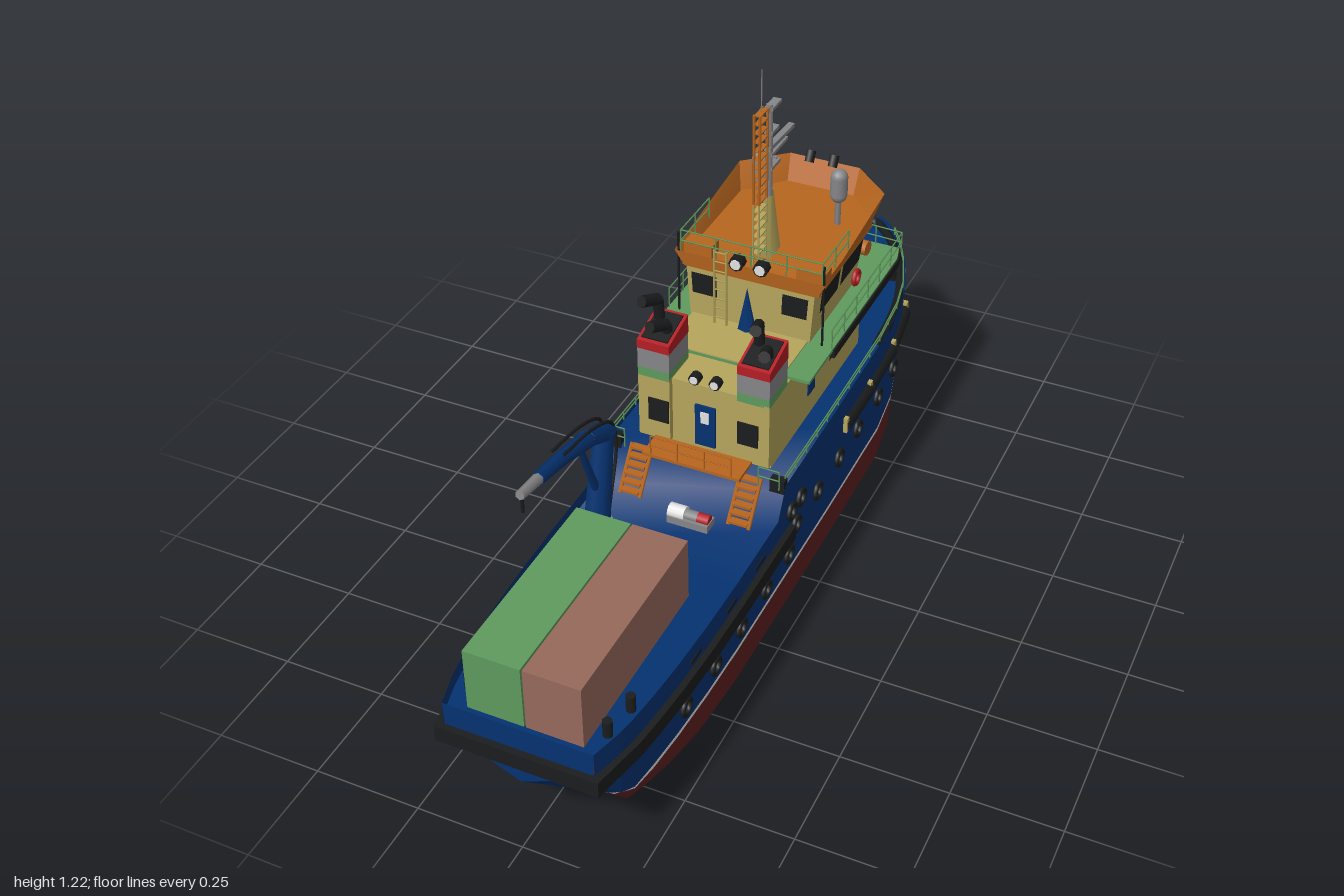
import * as THREE from 'three';

const mat = (name, color, side = THREE.FrontSide) => {
  const m = new THREE.MeshStandardMaterial({ color, side });
  m.name = name;
  return m;
};
const V = (x, y, z) => new THREE.Vector3(x, y, z);

export function createModel() {
  const D = THREE.DoubleSide;
  const blue = mat('hull blue', 0x043270, D), red = mat('bottom red', 0x602021, D), black = mat('rubber black', 0x1b1c1d);
  const orange = mat('orange', 0xb8661f, D), tan = mat('tan', 0xb5a55c), green = mat('green', 0x5f9a5e);
  const brown = mat('brown', 0x96695b), grey = mat('grey', 0x868688), white = mat('white', 0xe2e2e2, D), bright = mat('bright red', 0xb41e24);
  const ship = new THREE.Group();
  ship.name = 'workShip';

  const add = (name, geo, m, p = [0, 0, 0]) => {
    const o = new THREE.Mesh(geo, m);
    o.name = name;
    o.position.set(...p);
    ship.add(o);
    return o;
  };
  const box = (name, m, w, h, d, x, y, z) => add(name, new THREE.BoxGeometry(w, h, d), m, [x, y, z]);
  const rod = (name, m, a, b, r = 0.0025, r2 = r, seg = 5) => {
    const d = b.clone().sub(a);
    const o = add(name, new THREE.CylinderGeometry(r2, r, d.length(), seg), m, a.clone().add(b).multiplyScalar(0.5).toArray());
    o.quaternion.setFromUnitVectors(V(0, 1, 0), d.normalize());
    return o;
  };
  // Surface through rows of points, one row per cross-section
  const grid = (name, rows, m, flip) => {
    const n = rows[0].length, pos = rows.flat().flatMap(p => p.toArray()), idx = [];
    for (let i = 0; i < rows.length - 1; i++) for (let j = 0; j < n - 1; j++) {
      const a = i * n + j, b = a + 1, c = a + n, d = c + 1;
      idx.push(...(flip ? [a, c, b, b, c, d] : [a, b, c, b, d, c]));
    }
    const g = new THREE.BufferGeometry();
    g.setAttribute('position', new THREE.Float32BufferAttribute(pos, 3));
    g.setIndex(idx);
    g.computeVertexNormals();
    return add(name, g, m);
  };
  // Flat plate drawn in plan (x, z) with its top at y
  const plate = (name, pts, y, h, m) => {
    const g = new THREE.ExtrudeGeometry(new THREE.Shape(pts.map(p => new THREE.Vector2(p[0], p[1]))), { depth: h, bevelEnabled: false });
    g.rotateX(Math.PI / 2);
    return add(name, g, m, [0, y, 0]);
  };
  // Six-sided room outline, anticlockwise from above
  const ring = (w, aft, side, fw, front, yAft, yFront = yAft) => [V(-w, yAft, aft), V(w, yAft, aft),
    V(w, yFront, side), V(fw, yFront, front), V(-fw, yFront, front), V(-w, yFront, side)];
  const walls = (name, A, B, m) => A.forEach((a, i) => {
    const j = (i + 1) % A.length;
    grid(name, [[a, B[i]], [A[j], B[j]]], m, true);
  });
  // Thin pane on wall i, in fractions of that wall
  const pane = (name, A, B, i, u0, u1, v0, v1) => {
    const j = (i + 1) % 6;
    const n = A[j].clone().sub(A[i]).cross(B[i].clone().sub(A[i])).normalize().multiplyScalar(0.004);
    const at = (u, v) => A[i].clone().lerp(A[j], u).lerp(B[i].clone().lerp(B[j], u), v).add(n);
    grid(name, [[at(u0, v0), at(u0, v1)], [at(u1, v0), at(u1, v1)]], black, true);
  };
  const rail = (name, pts, h = 0.055, m = green) => {
    for (let i = 0; i < pts.length - 1; i++) {
      const a = pts[i], b = pts[i + 1], n = Math.max(1, Math.round(a.distanceTo(b) / 0.07));
      for (const k of [0.5, 1]) rod(name, m, a.clone().add(V(0, h * k, 0)), b.clone().add(V(0, h * k, 0)), 0.0018);
      for (let k = 0; k <= n; k++) {
        const p = a.clone().lerp(b, k / n);
        rod(name, m, p, p.clone().add(V(0, h, 0)), 0.0018);
      }
    }
  };

  // Hull stations: z, half beam, keel height
  const st = [[-0.997, 0.004, 0], [-0.97, 0.042, 0], [-0.93, 0.078, 0], [-0.87, 0.116, 0], [-0.8, 0.15, 0], [-0.7, 0.187, 0],
    [-0.6, 0.207, 0], [-0.45, 0.219, 0], [-0.1, 0.222, 0], [0.16, 0.222, 0], [0.2, 0.222, 0], [0.42, 0.222, 0.002], [0.57, 0.219, 0.012],
    [0.7, 0.213, 0.04], [0.8, 0.205, 0.07], [0.87, 0.197, 0.095], [0.91, 0.19, 0.121], [0.918, 0.188, 0.127], [0.985, 0.17, 0.18]];
  const top = z => (z < 0.18 ? 0.405 : 0.33);
  const deckY = z => (z < 0.18 ? 0.39 : 0.3);
  const beam = z => {
    const i = Math.max(1, st.findIndex(s => s[0] >= z));
    const [a, b] = [st[i - 1], st[i]];
    return a[1] + (b[1] - a[1]) * (z - a[0]) / (b[0] - a[0]);
  };
  const section = ([z, w, k], s) => {
    const bow = THREE.MathUtils.clamp((-z - 0.5) / 0.5, 0, 1);
    const rise = THREE.MathUtils.clamp((z - 0.87) / 0.115, 0, 1) * 0.072, bilge = k + Math.max(0.04, rise + 0.01);
    const pt = (f, y) => V(s * w * f * (1 - bow * 0.45 * (0.405 - y)), y, z + bow * 0.18 * (0.405 - y));
    return [pt(0, k), pt(0.9, k + rise), pt(0.985, bilge), pt(1, Math.max(0.13, bilge)), pt(1, Math.max(0.14, bilge)), pt(1, top(z))];
  };
  for (const s of [1, -1]) {
    const S = st.map(q => section(q, s)), f = s < 0;
    const part = (name, a, b, i, j, m) => grid(name, S.slice(i, j).map(r => r.slice(a, b + 1)), m, f);
    part('hullBottom', 0, 1, 0, 17, red);
    part('hullBilge', 1, 2, 0, 17, red);
    part('hullLowerSide', 2, 3, 0, 17, red);
    part('sternWaterline', 0, 1, 16, 18, white);
    part('sternBilgeWaterline', 1, 2, 16, 18, white);
    part('sternUnderside', 0, 1, 17, 19, blue);
    part('sternBilge', 1, 2, 17, 19, blue);
    part('sternSide', 2, 3, 16, 19, blue);
    part('waterline', 3, 4, 0, 18, white);
    part('hullSide', 4, 5, 0, 19, blue);
  }
  const half = section(st[18], 1).filter((p, i) => i !== 3 && i !== 4);
  const transom = new THREE.Shape([...half.map(p => new THREE.Vector2(p.x, p.y)), ...half.slice(1).reverse().map(p => new THREE.Vector2(-p.x, p.y))]);
  add('transom', new THREE.ShapeGeometry(transom), blue, [0, 0, 0.985]);
  grid('deck', st.map(([z, w]) => [V(-w * 0.99, deckY(z), z), V(w * 0.99, deckY(z), z)]), blue, true);

  // Stern fender belt and bow rim
  const aft = [0.13, 0.42, 0.57, 0.7, 0.8, 0.87, 0.94, 0.985];
  const belt = o => [...aft.map(z => [beam(z) + o, z === 0.985 ? z + o : z]), ...[...aft].reverse().map(z => [-beam(z) - o, z === 0.985 ? z + o : z])];
  plate('sternFender', [...belt(0.015), ...belt(-0.004).reverse()], 0.272, 0.04, black);
  const bowPts = st.slice(0, 8).map(([z, w]) => V(Math.max(0, w - 0.01), 0.394, z + 0.018));
  add('bowRim', new THREE.TubeGeometry(new THREE.CatmullRomCurve3([...[...bowPts].reverse(), ...bowPts.slice(1).map(p => V(-p.x, p.y, p.z))]), 60, 0.012, 6), black);

  const tyre = new THREE.TorusGeometry(0.019, 0.006, 6, 14).rotateY(Math.PI / 2);
  for (const s of [1, -1]) {
    // Side tyres, long fenders, anchors and fairleads
    for (const z of [0.1, -0.03, -0.165, -0.29, -0.43, -0.56]) add('tyre', tyre, black, [s * (beam(z) + 0.004), 0.25, z]);
    for (const z of [0.67, 0.535, 0.405, 0.27, 0.14]) add('tyre', tyre, black, [s * (beam(z) + 0.004), 0.19, z]);
    for (const z of [0.13, 0.075]) add('tyre', tyre, black, [s * 0.226, 0.31, z]);
    for (const [a, b] of [[-0.2, -0.36], [-0.37, -0.54], [-0.55, -0.71]])
      rod('longFender', black, V(s * (beam(a) - 0.004), 0.32, a), V(s * (beam(b) - 0.002), 0.32, b), 0.02, 0.02, 10);
    const anchor = box('anchor', black, 0.025, 0.06, 0.07, s * 0.165, 0.25, -0.765);
    anchor.rotation.y = s * 0.4;
    box('bulwarkRoller', black, 0.035, 0.035, 0.02, s * 0.202, 0.398, 0.155);
    for (const z of [-0.2, -0.36, -0.545, -0.72, -0.86, -0.93]) box('fairlead', tan, 0.016, 0.04, 0.014, s * (beam(z) + 0.002), 0.325, z);
    for (const z of [0.3, 0.45, 0.62]) box('freeingPort', black, 0.006, 0.01, 0.05, s * (beam(z) - 0.001), 0.29, z);
    for (const z of [0.82, 0.9, -0.74, -0.8]) rod('bollard', black, V(s * (beam(z) - 0.035), deckY(z), z), V(s * (beam(z) - 0.035), top(z) + 0.01, z), 0.011, 0.011, 8);
    rail('bulwarkRail', [0.15, -0.1, -0.45, -0.6, -0.7, -0.8, -0.87, -0.93].map(z => V(s * (beam(z) - 0.006), 0.4, z)), 0.022);
    rod('rudderFin', red, V(s * 0.125, 0.125, 0.83), V(s * 0.125, 0.06, 0.8), 0.017, 0.013, 8);

    // Stairs from raised deck to working deck
    for (let i = 0; i < 6; i++) box('stairStep', orange, 0.045, 0.006, 0.018, s * 0.135, 0.395 - i * 0.016, 0.16 + i * 0.012);
    for (const x of [0.11, 0.16]) rod('stairStringer', orange, V(s * x, 0.4, 0.155), V(s * x, 0.305, 0.225), 0.005);
    rail('stairHeadRail', [V(s * 0.165, 0.405, 0.182), V(s * 0.215, 0.405, 0.182)], 0.05);

    // Funnels in stacked colour bands with bent exhausts
    const fx = s * 0.122;
    box('funnelBase', tan, 0.078, 0.17, 0.1, fx, 0.485, 0.065);
    box('funnelGreenBand', green, 0.078, 0.024, 0.1, fx, 0.577, 0.065);
    box('funnelGreyBand', grey, 0.078, 0.05, 0.1, fx, 0.614, 0.065);
    const cap = new THREE.BoxGeometry(0.079, 0.035, 0.101), cp = cap.attributes.position;
    for (let i = 0; i < cp.count; i++) if (cp.getY(i) > 0) cp.setY(i, cp.getY(i) - cp.getZ(i) * 0.25);
    cap.computeVertexNormals();
    add('funnelRedCap', cap, bright, [fx, 0.656, 0.065]);
    box('funnelTop', black, 0.064, 0.006, 0.086, fx, 0.674, 0.065).rotation.x = 0.245;
    for (const [x, z, h] of [[-0.018, 0.04, 0.755], [0.016, 0.07, 0.715]]) {
      const p = V(fx + x, h - 0.022, z + 0.008);
      rod('exhaust', black, V(fx + x, 0.66, z), p, 0.013, 0.013, 8);
      rod('exhaustTip', black, p, V(fx + x + s * 0.015, h - 0.002, z + 0.06), 0.014, 0.014, 8);
    }

    // Radomes, roof lights, life rafts and wing brackets
    rod('radomeStand', grey, V(s * 0.1, 0.72, -0.425), V(s * 0.1, 0.8, -0.425), 0.008);
    add('radome', new THREE.CapsuleGeometry(0.021, 0.045, 5, 12), grey, [s * 0.1, 0.828, -0.425]);
    box('roofLocker', orange, 0.07, 0.03, 0.04, s * 0.14, 0.74, -0.18);
    rod('searchlight', black, V(s * 0.03, 0.79, -0.56), V(s * 0.03, 0.815, -0.575), 0.012, 0.012, 8);
    rod('floodlightHousing', black, V(s * 0.03, 0.75, -0.15), V(s * 0.03, 0.75, -0.126), 0.018, 0.018, 8);
    rod('floodlight', white, V(s * 0.03, 0.75, -0.13), V(s * 0.03, 0.75, -0.123), 0.013, 0.013, 8);
    rod('deckLightHousing', black, V(s * 0.025, 0.585, 0.09), V(s * 0.025, 0.585, 0.11), 0.014, 0.014, 8);
    rod('deckLight', white, V(s * 0.025, 0.585, 0.105), V(s * 0.025, 0.585, 0.113), 0.01, 0.01, 8);
    rod('lifeRaft', orange, V(s * 0.09, 0.602, -0.54), V(s * 0.14, 0.602, -0.535), 0.019, 0.019, 10);
    add('lifebuoy', new THREE.TorusGeometry(0.017, 0.006, 6, 14).rotateY(Math.PI / 2), bright, [s * 0.162, 0.605, -0.4]);
    for (const z of [-0.18, -0.32, -0.44]) {
      const g = new THREE.ExtrudeGeometry(new THREE.Shape([[0.158, 0.52], [0.205, 0.548], [0.205, 0.556], [0.158, 0.556]].map(p => new THREE.Vector2(...p))), { depth: 0.03, bevelEnabled: false });
      const o = add('wingBracket', g, tan, [0, 0, z]);
      if (s < 0) { o.rotation.y = Math.PI; o.position.z = z + 0.03; }
    }
    rail('bridgeDeckRail', [V(s * 0.205, 0.575, -0.14), V(s * 0.205, 0.575, -0.595), V(0, 0.575, -0.605)]);
    rail('roofRail', [V(s * 0.175, 0.74, -0.3), V(s * 0.175, 0.74, -0.145), V(0, 0.74, -0.145)]);
    rod('roofPost', black, V(s * 0.18, 0.57, -0.142), V(s * 0.18, 0.79, -0.142), 0.003);
    box('sideDoor', blue, 0.006, 0.06, 0.04, s * 0.16, 0.48, -0.13);
  }
  box('stairPlatform', orange, 0.24, 0.008, 0.07, 0, 0.402, 0.15);
  rail('platformRail', [V(-0.1, 0.405, 0.182), V(0.1, 0.405, 0.182)], 0.05, orange);

  // Lower house and bridge deck
  const hA = ring(0.16, 0.1, -0.44, 0.085, -0.55, 0.38), hB = ring(0.16, 0.1, -0.44, 0.085, -0.55, 0.565);
  walls('lowerHouse', hA, hB, tan);
  plate('lowerHouseRoof', hB.map(p => [p.x, p.z]), 0.567, 0.006, tan);
  plate('bridgeDeckEdge', [[-0.212, -0.14], [0.212, -0.14], [0.212, -0.56], [0.2, -0.61], [-0.2, -0.61], [-0.212, -0.56]], 0.574, 0.022, black);
  plate('bridgeDeck', [[-0.208, 0], [0.208, 0], [0.208, -0.56], [0.196, -0.605], [-0.196, -0.605], [-0.208, -0.56]], 0.578, 0.008, green);
  box('houseTop', tan, 0.29, 0.01, 0.14, 0, 0.576, -0.07);
  for (const u of [0.62, 0.74, 0.86]) {
    pane('houseWindow', hA, hB, 1, u, u + 0.07, 0.48, 0.7);
    pane('houseWindow', hA, hB, 5, 0.93 - u, 1 - u, 0.48, 0.7);
  }
  for (const i of [2, 4]) pane('houseCornerWindow', hA, hB, i, 0.35, 0.65, 0.48, 0.7);
  for (const x of [-1, 1]) box('aftFunnelWindow', black, 0.05, 0.06, 0.004, x * 0.11, 0.48, 0.117);
  box('aftDoor', blue, 0.05, 0.11, 0.006, 0, 0.46, 0.103);
  box('aftDoorPane', white, 0.02, 0.03, 0.004, 0, 0.485, 0.107);

  // Wheelhouse with raked front windows
  const wA = ring(0.15, -0.14, -0.42, 0.075, -0.5, 0.575), wB = ring(0.16, -0.14, -0.46, 0.085, -0.55, 0.72);
  walls('wheelhouse', wA, wB, tan);
  for (const [u, v] of [[0.12, 0.49], [0.54, 0.95]]) {
    pane('sideWindow', wA, wB, 1, u, v, 0.45, 0.83);
    pane('sideWindow', wA, wB, 5, 1 - v, 1 - u, 0.45, 0.83);
  }
  for (const i of [2, 4]) pane('cornerWindow', wA, wB, i, 0.08, 0.92, 0.45, 0.83);
  for (const u of [0.04, 0.36, 0.68]) pane('frontWindow', wA, wB, 3, u, u + 0.28, 0.45, 0.83);
  for (const u of [0.04, 0.76]) pane('rearWindow', wA, wB, 0, u, u + 0.2, 0.45, 0.83);
  const flag = add('furledFlag', new THREE.ConeGeometry(0.024, 0.115, 6), blue, [0, 0.638, -0.125]);
  flag.scale.z = 0.5;

  // Orange roof basin
  const rA = ring(0.165, -0.14, -0.46, 0.085, -0.555, 0.705), rB = ring(0.187, -0.135, -0.5, 0.09, -0.588, 0.745, 0.787);
  walls('roofBulwark', rA, rB, orange);
  plate('roofDeck', ring(0.17, -0.14, -0.47, 0.086, -0.56, 0).map(p => [p.x, p.z]), 0.725, 0.018, orange);

  // Ladder up the back of the wheelhouse
  for (const x of [-0.08, -0.05]) rod('rearLadder', tan, V(x, 0.58, -0.12), V(x, 0.78, -0.12), 0.003);
  for (let y = 0.6; y < 0.78; y += 0.025) rod('rearLadderRung', tan, V(-0.08, y, -0.12), V(-0.05, y, -0.12), 0.002);

  // Mast, caged ladder and radar bars
  const foot = add('mastFoot', new THREE.CylinderGeometry(0.014, 0.042, 0.17, 4, 1).rotateY(Math.PI / 4), tan, [0, 0.805, -0.245]);
  foot.scale.x = 0.6;
  rod('mastPole', grey, V(0, 0.88, -0.24), V(0, 1.11, -0.24), 0.01, 0.008, 8);
  rod('whipAntenna', grey, V(0, 1.1, -0.195), V(0, 1.215, -0.195), 0.0015);
  for (const z of [-0.172, -0.214]) for (const x of [-0.007, 0.007]) {
    rod('mastLadderFoot', tan, V(x, 0.73, z), V(x, 0.89, z), 0.0025);
    rod('mastLadder', orange, V(x, 0.89, z), V(x, 1.115, z), 0.0035);
  }
  for (let y = 0.76; y < 1.12; y += 0.022) box('mastLadderHoop', y < 0.89 ? tan : orange, 0.016, 0.003, 0.042, 0, y, -0.193);
  for (const [y, l] of [[0.95, 0.05], [0.985, 0.09], [1.04, 0.04], [1.1, 0.05]]) box('mastArm', grey, 0.02, 0.008, l, 0, y, -0.235 - l / 2);
  const scanner = box('radarScanner', grey, 0.015, 0.01, 0.14, 0, 0.998, -0.3);
  scanner.rotation.x = -0.05;
  box('mastCrossbar', grey, 0.04, 0.005, 0.005, 0, 0.98, -0.24);

  // Cargo containers
  box('greenContainer', green, 0.13, 0.155, 0.48, -0.069, 0.378, 0.71);
  box('brownContainer', brown, 0.13, 0.155, 0.48, 0.065, 0.378, 0.71);

  // Deck crane with folding boom
  const cx = -0.145;
  rod('craneBase', grey, V(cx, 0.3, 0.37), V(cx, 0.335, 0.37), 0.045, 0.04, 14);
  rod('craneColumn', blue, V(cx, 0.32, 0.365), V(cx, 0.55, 0.315), 0.032, 0.024, 8);
  const boom = [V(cx, 0.54, 0.3), V(cx, 0.58, 0.39), V(cx, 0.608, 0.5), V(cx, 0.627, 0.6), V(cx, 0.638, 0.675)];
  boom.slice(1).forEach((p, i) => rod('craneBoom', i === 3 ? grey : blue, boom[i], p, [0.025, 0.021, 0.017, 0.013][i], [0.021, 0.017, 0.015, 0.011][i], 6));
  rod('craneRam', blue, V(cx, 0.42, 0.36), V(cx, 0.57, 0.42), 0.01, 0.008, 6);
  rod('craneHook', black, V(cx, 0.59, 0.668), V(cx, 0.638, 0.668), 0.004);
  for (const x of [-0.014, 0.014]) add('craneHose', new THREE.TubeGeometry(new THREE.CatmullRomCurve3(
    [V(cx + x, 0.36, 0.325), V(cx + x, 0.5, 0.285), V(cx + x, 0.57, 0.305), V(cx + x, 0.61, 0.39), V(cx + x, 0.632, 0.52)]), 20, 0.004, 5), black);

  // Deck winches
  for (const [z, y, drum] of [[0.25, 0.318, white], [-0.63, 0.404, tan]]) {
    box('winchBed', grey, 0.1, 0.02, 0.04, 0.03, y - 0.01, z);
    rod('winchDrum', drum, V(-0.02, y + 0.004, z), V(0.02, y + 0.004, z), 0.018, 0.018, 12);
    rod('winchGear', grey, V(0.02, y + 0.004, z), V(0.05, y + 0.004, z), 0.013, 0.013, 10);
    rod('winchMotor', bright, V(0.05, y + 0.004, z), V(0.078, y + 0.004, z), 0.013, 0.013, 10);
  }
  return ship;
}
